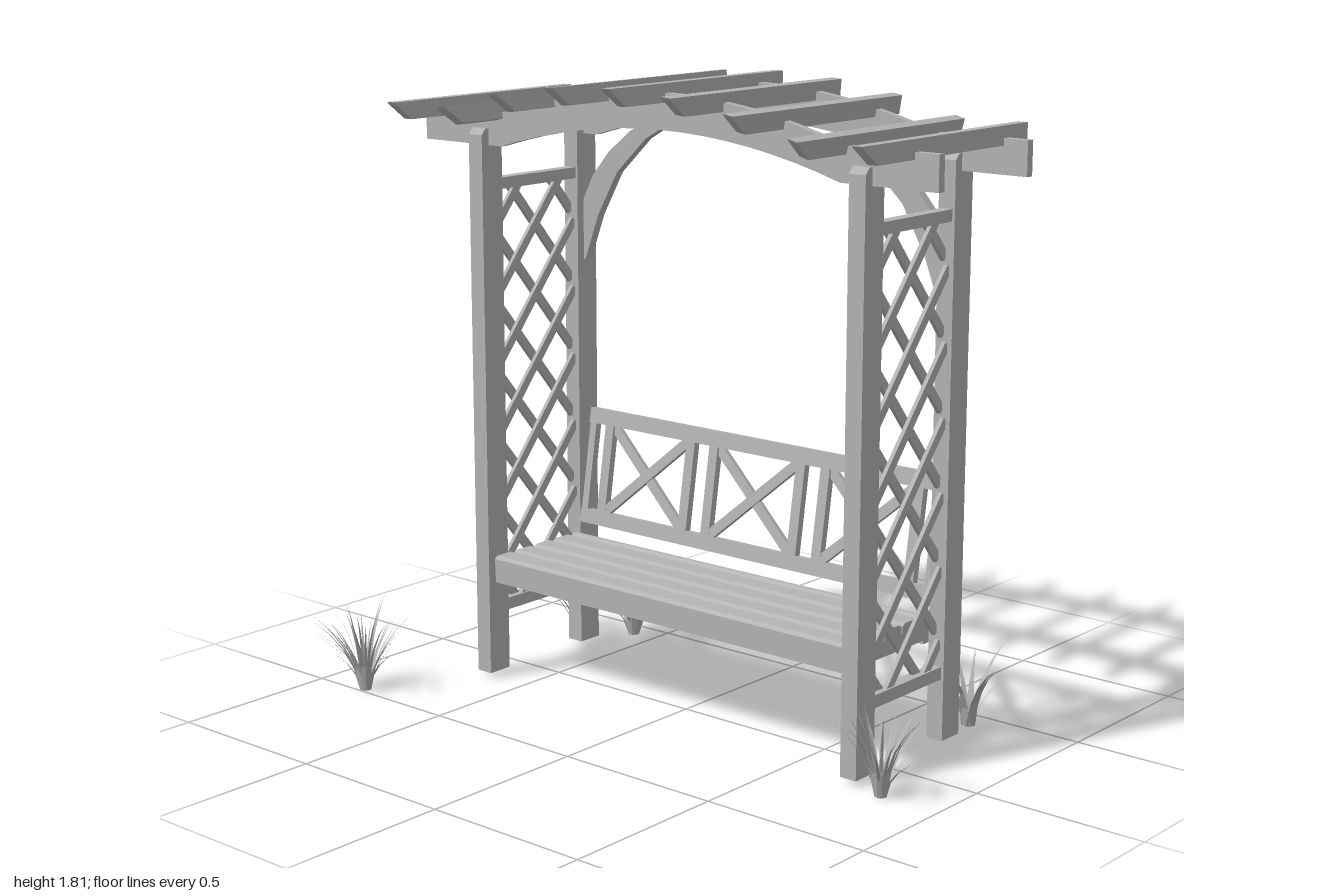
import * as THREE from 'three';

const grey = new THREE.MeshStandardMaterial({ color: 0xb4b4b4 });
grey.name = 'weatheredGrey';
grey.side = THREE.DoubleSide;

const CZ = 0.032;                 // centre of the arbour along z
const END = 0.675;                // end frames lie at CZ +- END
const POST_X = [-0.132, 0.266];
const POST_W = 0.08, POST_D = 0.052;

function add(parent, name, geo, x = 0, y = 0, z = 0) {
  const m = new THREE.Mesh(geo, grey);
  m.name = name;
  m.position.set(x, y, z);
  parent.add(m);
  return m;
}
function box(parent, name, x0, x1, y0, y1, z0, z1) {
  return add(parent, name, new THREE.BoxGeometry(x1 - x0, y1 - y0, z1 - z0),
    (x0 + x1) / 2, (y0 + y1) / 2, (z0 + z1) / 2);
}
function group(parent, name) {
  const g = new THREE.Group();
  g.name = name;
  parent.add(g);
  return g;
}
// Outline in (x, y), extruded along z and centred
function slab(pts, depth) {
  const shape = new THREE.Shape(pts.map(p => new THREE.Vector2(p[0], p[1])));
  return new THREE.ExtrudeGeometry(shape, { depth, bevelEnabled: false }).translate(0, 0, -depth / 2);
}
// Outline in (z, y), extruded along x and centred
const sideSlab = (pts, depth) => slab(pts, depth).rotateY(-Math.PI / 2);

// Arched top edge of the beams, u measured from the middle
const arch = (u, base, rise) => base + rise * Math.max(0, 1 - (u / 0.6) ** 2);

function posts(root) {
  const w = POST_W / 2, outline = [[-w, 0.02], [w, 0.02], [w, 1.625], [w - 0.015, 1.643], [0.015 - w, 1.643], [-w, 1.625]];
  for (const x of POST_X) for (const s of [-1, 1])
    add(root, 'post', slab(outline, POST_D), x, 0, CZ + s * END);
}

function roof(root) {
  // Arched beams with straight ends
  const us = [-0.902];
  for (let i = 0; i <= 16; i++) us.push(-0.6 + i * 0.075);
  us.push(0.902);
  const outline = [...us.map(u => [u, arch(u, 1.595, 0.09)]), ...us.map(u => [u, arch(u, 1.69, 0.095)]).reverse()];
  for (const x of POST_X) add(root, 'archedBeam', sideSlab(outline, 0.024), x, 0, CZ);

  // Rafters, tilted to follow the arch, undercut at one end
  const rafter = [[-0.3, -0.026], [0.365, -0.026], [0.365, 0.026], [-0.365, 0.026], [-0.36, 0.02]];
  for (let i = -4; i <= 4; i++) {
    const u = i * 0.2035;
    const m = add(root, 'rafter', slab(rafter, 0.03), 0, arch(u, 1.697, 0.088), CZ + u);
    m.rotation.x = Math.abs(u) < 0.65 ? 0.42 * u : 0;
  }

  // Curved braces under the back beam
  const brace = [[0.66, 1.377], [0.611, 1.473], [0.547, 1.548], [0.46, 1.617], [0.36, 1.66], [0.28, 1.667],
    [0.403, 1.596], [0.515, 1.489], [0.59, 1.356], [0.643, 1.217], [0.66, 1.217]];
  for (const s of [-1, 1])
    add(root, 'curvedBrace', sideSlab(brace.map(([u, y]) => [s * u, y]), 0.028), POST_X[1], 0, CZ);
}

function lattice(root, z) {
  const g = group(root, 'latticePanel');
  const x0 = -0.095, x1 = 0.228, y0 = 0.215, y1 = 1.48, slope = 1.2, step = 0.207;
  box(g, 'latticeTopRail', x0, x1, 1.463, 1.496, z - 0.018, z + 0.018);
  box(g, 'latticeBottomRail', x0, x1, 0.197, 0.233, z - 0.018, z + 0.018);
  const w = x1 - x0, xm = (x0 + x1) / 2;
  for (const s of [-1, 1]) {
    for (let c = y0 - 0.105; c < y1 + 0.25; c += step) {
      // Clip the centre line y = c + s * slope * (x - xm) to the frame
      const lo = Math.max(-w / 2, Math.min((y0 - c) / (s * slope), (y1 - c) / (s * slope)));
      const hi = Math.min(w / 2, Math.max((y0 - c) / (s * slope), (y1 - c) / (s * slope)));
      if (hi - lo < 0.02) continue;
      const mid = (lo + hi) / 2;
      const m = add(g, 'latticeStrip', new THREE.BoxGeometry((hi - lo) * Math.hypot(1, slope), 0.026, 0.012),
        xm + mid, c + s * slope * mid, z + s * 0.006);
      m.rotation.z = s * Math.atan(slope);
    }
  }
}

function bench(root) {
  const g = group(root, 'bench');
  const z0 = CZ - END + 0.026, z1 = CZ + END - 0.026;
  // Slats with eased top edges
  const slat = (w) => slab([[-w, -0.03], [w, -0.03], [w, -0.008], [w - 0.012, 0], [0.012 - w, 0], [-w, -0.008]], z1 - z0);
  for (let i = 0; i < 4; i++) add(g, 'seatSlat', slat(0.0395), -0.108 + i * 0.083, 0.377, CZ);
  add(g, 'backSeatSlat', slat(0.018), 0.202, 0.377, CZ);
  // Frame under the seat
  box(g, 'frontApron', -0.145, -0.118, 0.297, 0.352, z0, z1);
  box(g, 'backApron', 0.2, 0.226, 0.295, 0.368, z0, z1);
  for (const z of [z0 + 0.015, CZ, z1 - 0.015])
    box(g, 'seatBearer', -0.12, 0.205, 0.305, 0.35, z - 0.015, z + 0.015);

  // Leaning backrest, built upright from its lower edge
  const b = group(root, 'backrest');
  b.position.set(0.238, 0.405, CZ);
  b.rotation.z = -0.16;
  const L = (z1 - z0) / 2;
  box(b, 'backTopRail', -0.016, 0.016, 0.308, 0.353, -L, L);
  box(b, 'backBottomRail', -0.014, 0.014, 0, 0.043, -L, L);
  for (const s of [-1, 1]) box(b, 'endStile', -0.011, 0.011, 0.04, 0.31, s * (L - 0.012) - 0.012, s * (L - 0.012) + 0.012);
  for (const k of [-1, 0, 1]) {
    const c = k * 0.41;
    for (const s of [-1, 1]) {
      box(b, 'backStile', -0.011, 0.011, 0.04, 0.31, c + s * 0.161 - 0.016, c + s * 0.161 + 0.016);
      const m = add(b, 'crossBrace', new THREE.BoxGeometry(0.014, 0.03, Math.hypot(0.3, 0.265)), s * 0.003, 0.175, c);
      m.rotation.x = s * Math.atan2(0.265, 0.3);
    }
  }
}

// Arching, tapering blades around a centre
function grassTuft(root, x, z, blades, reach, height, width, seed) {
  let state = seed;
  const rnd = () => (state = (state * 16807) % 2147483647) / 2147483647;
  const pos = [], N = 4;
  for (let i = 0; i < blades; i++) {
    const a = (i + rnd() * 0.7) / blades * Math.PI * 2;
    const r = reach * (0.35 + 0.65 * rnd()), h = height * (0.55 + 0.45 * rnd());
    const dx = Math.cos(a), dz = Math.sin(a);
    const at = (t, s) => {
      const o = 0.015 + r * t ** 1.5, w = s * width * (1 - t) * 0.5;
      return [dx * o - dz * w, h * (1.35 * t - 0.35 * t * t), dz * o + dx * w];
    };
    for (let k = 0; k < N; k++) {
      const t = k / N, u = (k + 1) / N;
      pos.push(...at(t, -1), ...at(t, 1), ...at(u, 1));
      if (k < N - 1) pos.push(...at(t, -1), ...at(u, 1), ...at(u, -1));
    }
  }
  const geo = new THREE.BufferGeometry();
  geo.setAttribute('position', new THREE.Float32BufferAttribute(pos, 3));
  geo.computeVertexNormals();
  add(root, 'grassTuft', geo, x, 0.004, z);
}

export function createModel() {
  const root = new THREE.Group();
  root.name = 'gardenArbourBench';
  posts(root);
  roof(root);
  for (const s of [-1, 1]) lattice(root, CZ + s * END);
  bench(root);
  grassTuft(root, -0.48, -0.83, 32, 0.16, 0.27, 0.014, 11);
  grassTuft(root, 0.34, -0.73, 26, 0.15, 0.26, 0.014, 47);
  grassTuft(root, 0.43, -0.58, 32, 0.16, 0.27, 0.014, 83);
  grassTuft(root, -0.18, 0.82, 26, 0.15, 0.26, 0.014, 129);
  grassTuft(root, 0.42, 0.69, 9, 0.19, 0.27, 0.026, 211);
  return root;
}
